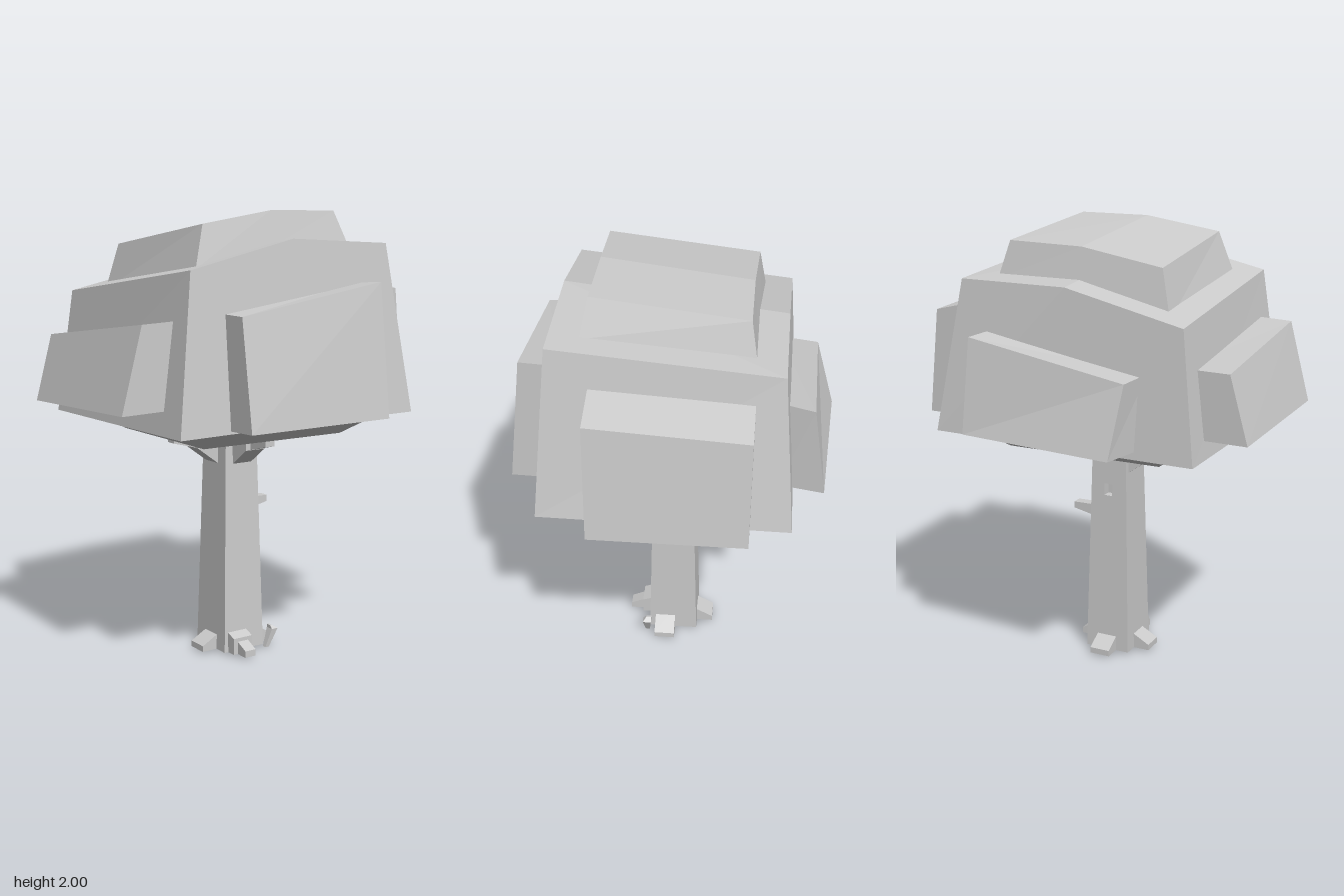
import * as THREE from 'three';

const material = (side = THREE.FrontSide) =>
  new THREE.MeshStandardMaterial({ color: 0xcccccc, flatShading: true, side });

function mesh(name, geometry, side) {
  const m = new THREE.Mesh(geometry, material(side));
  m.name = name;
  return m;
}

// Flat-sided solid through loops of points. Each loop runs clockwise seen from
// the end of the solid, starting at its far left corner.
function loft(name, loops, skipSide = -1) {
  const out = [];
  const quad = (a, b, c, d) => out.push(...a, ...b, ...c, ...a, ...c, ...d);
  const n = loops[0].length;
  for (let k = 0; k + 1 < loops.length; k++) {
    for (let i = 0; i < n; i++) {
      if (i === skipSide) continue;
      const j = (i + 1) % n;
      quad(loops[k][j], loops[k][i], loops[k + 1][i], loops[k + 1][j]);
    }
  }
  const first = loops[0], last = loops[loops.length - 1];
  for (let i = 0; i < n / 2 - 1; i++) {
    quad(last[n - 1 - i], last[n - 2 - i], last[i + 1], last[i]);
    quad(first[i], first[i + 1], first[n - 2 - i], first[n - 1 - i]);
  }
  const g = new THREE.BufferGeometry();
  g.setAttribute('position', new THREE.Float32BufferAttribute(out, 3));
  g.computeVertexNormals();
  return mesh(name, g);
}

// Level rectangle as a loop
const rect = (x0, x1, z0, z1, y) => [[x0, y, z0], [x1, y, z0], [x1, y, z1], [x0, y, z1]];

// Limb running along +z, turned to its direction; sections are [distance, halfWidth, y0, y1]
function limb(name, angle, x, z, sections) {
  const m = loft(name, sections.map(([d, w, y0, y1]) =>
    [[-w, y1, d], [w, y1, d], [w, y0, d], [-w, y0, d]]));
  m.rotation.y = angle;
  m.position.set(x, 0, z);
  return m;
}

function makeTrunk() {
  const g = new THREE.Group();
  g.name = 'trunk';
  const y0 = 0.01, y1 = 1.05;
  g.add(loft('trunkBody', [
    rect(-0.11, 0.105, -0.095, 0.135, y0),
    rect(-0.085, 0.08, -0.07, 0.108, y1),
  ], 0));

  // Back face with a small square hollow
  const face = new THREE.Shape([[-0.11, y0], [0.105, y0], [0.08, y1], [-0.085, y1]]
    .map(p => new THREE.Vector2(...p)));
  face.holes.push(new THREE.Path([[-0.02, 0.765], [-0.02, 0.82], [0.02, 0.82], [0.02, 0.765]]
    .map(p => new THREE.Vector2(...p))));
  const back = new THREE.ShapeGeometry(face);
  const pos = back.attributes.position;
  for (let i = 0; i < pos.count; i++) {
    pos.setZ(i, THREE.MathUtils.mapLinear(pos.getY(i), y0, y1, -0.095, -0.07));
  }
  back.computeVertexNormals();
  g.add(mesh('trunkBack', back, THREE.DoubleSide));
  const hollow = mesh('hollow', new THREE.BoxGeometry(0.04, 0.055, 0.04), THREE.BackSide);
  hollow.position.set(0, 0.7925, -0.056);
  g.add(hollow);
  return g;
}

function makeLimbs() {
  const g = new THREE.Group();
  g.name = 'limbs';
  const H = Math.PI / 2;

  // Stepped branches that reach into the crown
  const branch = [[0.05, 0.05, 0.85, 1.03], [0.195, 0.05, 0.955, 1.04],
    [0.195, 0.025, 0.957, 1.03], [0.305, 0.025, 0.985, 1.05]];
  g.add(limb('frontBranch', 0, 0, 0.02, branch));
  g.add(limb('rightBranch', -H, 0, 0, branch));
  g.add(limb('stubBranch', H, 0, -0.002, [[0.06, 0.025, 0.63, 0.692], [0.205, 0.024, 0.66, 0.69]]));

  // Roots
  g.add(limb('frontRoot', 0, -0.04, 0, [[0.1, 0.05, 0.01, 0.115], [0.18, 0.05, 0.01, 0.085],
    [0.18, 0.028, 0.01, 0.068], [0.24, 0.028, 0.01, 0.04]]));
  const root = [[0.07, 0.048, 0.01, 0.1], [0.185, 0.048, 0.01, 0.037]];
  g.add(limb('leftRoot', H, 0, 0.058, root));
  g.add(limb('rightRoot', -H, 0, 0.02, root));
  g.add(limb('backRoot', Math.PI, 0, 0.015, root));

  // Leaning splinter at the front left corner
  g.add(loft('splinter', [
    rect(0.105, 0.125, 0.135, 0.155, 0),
    rect(0.135, 0.168, 0.125, 0.165, 0.085),
    rect(0.135, 0.145, 0.125, 0.15, 0.1),
  ]));
  return g;
}

function makeCrown() {
  const g = new THREE.Group();
  g.name = 'crown';

  g.add(loft('crownUnderside', [
    rect(-0.36, 0.37, -0.31, 0.35, 1.015),
    rect(-0.49, 0.49, -0.44, 0.48, 1.108),
  ]));
  g.add(loft('crownBody', [
    [[-0.6, 1.095, -0.515], [0, 1.1, -0.515], [0.62, 1.105, -0.515],
      [0.62, 1.115, 0.545], [0, 1.11, 0.545], [-0.595, 1.1, 0.545]],
    [[-0.535, 1.645, -0.475], [0, 1.77, -0.465], [0.5, 1.775, -0.46],
      [0.505, 1.86, 0.48], [0, 1.88, 0.478], [-0.51, 1.76, 0.488]],
  ]));
  g.add(loft('crownCap', [
    [[-0.425, 1.65, -0.36], [0, 1.765, -0.342], [0.392, 1.77, -0.342],
      [0.397, 1.845, 0.358], [0, 1.85, 0.348], [-0.408, 1.76, 0.368]],
    [[-0.375, 1.855, -0.325], [0, 1.92, -0.315], [0.345, 1.93, -0.315],
      [0.335, 2, 0.325], [0, 1.998, 0.32], [-0.35, 1.94, 0.33]],
  ]));

  // Leaf clumps on the four sides
  g.add(loft('frontClump', [
    [[-0.355, 1.115, 0.5], [0.36, 1.12, 0.5], [0.36, 1.125, 0.69], [-0.355, 1.12, 0.69]],
    [[-0.355, 1.585, 0.45], [0.36, 1.69, 0.45], [0.36, 1.7, 0.62], [-0.355, 1.58, 0.62]],
  ]));
  g.add(loft('leftClump', [
    rect(0.55, 0.77, -0.343, 0.313, 1.138),
    [[0.5, 1.66, -0.345], [0.717, 1.61, -0.345], [0.72, 1.652, 0.313], [0.5, 1.705, 0.313]],
  ]));
  g.add(loft('rightClump', [
    [[-0.775, 1.17, -0.37], [-0.54, 1.175, -0.375], [-0.54, 1.2, 0.4], [-0.775, 1.193, 0.4]],
    [[-0.695, 1.46, -0.375], [-0.48, 1.465, -0.375], [-0.48, 1.56, 0.4], [-0.68, 1.55, 0.4]],
  ]));
  g.add(loft('backClump', [
    [[-0.31, 1.13, -0.69], [0.4, 1.145, -0.645], [0.36, 1.145, -0.45], [-0.35, 1.13, -0.45]],
    [[-0.34, 1.43, -0.605], [0.395, 1.552, -0.585], [0.36, 1.565, -0.43], [-0.36, 1.44, -0.43]],
  ]));
  return g;
}

export function createModel() {
  const model = new THREE.Group();
  model.name = 'tree';
  model.add(makeTrunk(), makeLimbs(), makeCrown());
  return model;
}
